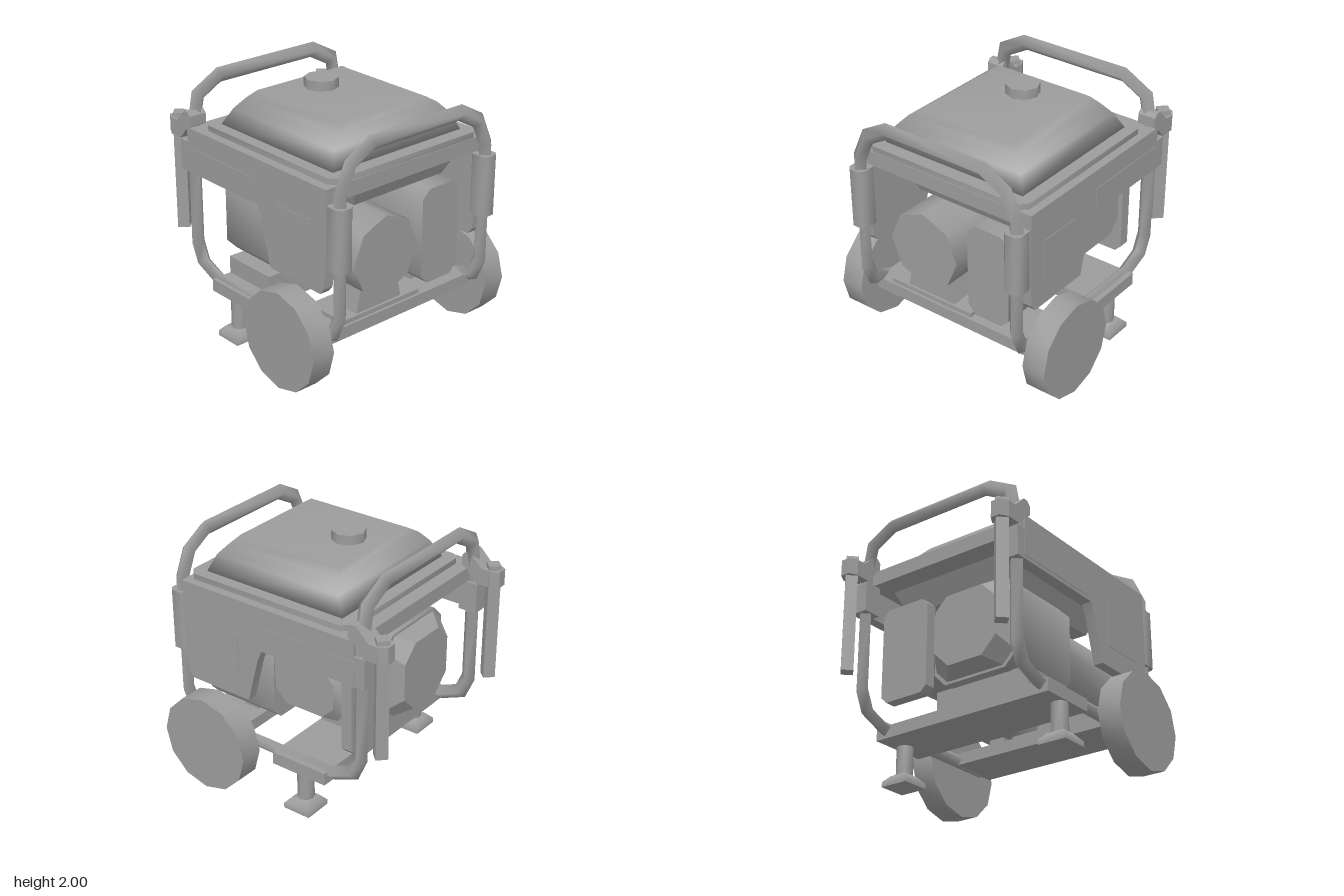
import * as THREE from 'three';
import { toCreasedNormals } from 'three/addons/utils/BufferGeometryUtils.js';

const grey = new THREE.MeshStandardMaterial({ color: 0x9c9c9c, side: THREE.DoubleSide });
const group = new THREE.Group();

function add(name, geo, crease = 0.9) {
  const mesh = new THREE.Mesh(crease ? toCreasedNormals(geo, crease) : geo, grey);
  mesh.name = name;
  group.add(mesh);
  return mesh;
}

function meshFrom(pos, index) {
  const geo = new THREE.BufferGeometry();
  geo.setAttribute('position', new THREE.Float32BufferAttribute(pos, 3));
  geo.setIndex(index);
  geo.computeVertexNormals();
  return geo;
}

// Chamfered-rectangle sections [t, a0, a1, b0, b1, chamfer] stacked along an axis.
// Axis x: a = y, b = z.  Axis y: a = z, b = x.  Axis z: a = x, b = y.
function loft(axis, sections) {
  const pos = [], index = [];
  let n = 4;
  for (const [t, a0, a1, b0, b1, c = 0] of sections) {
    const ring = c
      ? [[a0 + c, b0], [a1 - c, b0], [a1, b0 + c], [a1, b1 - c], [a1 - c, b1], [a0 + c, b1], [a0, b1 - c], [a0, b0 + c]]
      : [[a0, b0], [a1, b0], [a1, b1], [a0, b1]];
    n = ring.length;
    for (const [a, b] of ring) pos.push(...(axis === 'x' ? [t, a, b] : axis === 'y' ? [b, t, a] : [a, b, t]));
  }
  const last = (sections.length - 1) * n;
  for (let o = 0; o < last; o += n)
    for (let j = 0; j < n; j++) {
      const k = (j + 1) % n;
      index.push(o + j, o + k, o + n + k, o + j, o + n + k, o + n + j);
    }
  for (let j = 1; j < n - 1; j++) index.push(0, j + 1, j, last, last + j, last + j + 1);
  return meshFrom(pos, index);
}

function box(name, x0, x1, y0, y1, z0, z1) {
  const geo = new THREE.BoxGeometry(x1 - x0, y1 - y0, z1 - z0);
  geo.translate((x0 + x1) / 2, (y0 + y1) / 2, (z0 + z1) / 2);
  return add(name, geo);
}

// Four-sided mitred pipe along a path lying in the plane with the given normal
function pipe(name, points, normal, r) {
  const path = points.map(p => new THREE.Vector3(...p)), n = new THREE.Vector3(...normal);
  const pos = [], index = [];
  path.forEach((p, i) => {
    const before = p.clone().sub(path[Math.max(i - 1, 0)]).normalize();
    const after = path[Math.min(i + 1, path.length - 1)].clone().sub(p).normalize();
    const t = before.clone().add(after).normalize();
    const m = n.clone().cross(t).divideScalar(t.dot(i ? before : after));
    for (let k = 0; k < 4; k++) {
      const a = k * Math.PI / 2;
      pos.push(...p.clone().addScaledVector(m, r * Math.cos(a)).addScaledVector(n, r * Math.sin(a)).toArray());
      if (i) {
        const o = (i - 1) * 4, q = (k + 1) % 4;
        index.push(o + k, o + q, o + 4 + q, o + k, o + 4 + q, o + 4 + k);
      }
    }
  });
  add(name, meshFrom(pos, index), 0);
}

// Flat outline in x and y, extruded from z0 to z1
function plate(name, outline, z0, z1) {
  const shape = new THREE.Shape(outline.map(p => new THREE.Vector2(...p)));
  const geo = new THREE.ExtrudeGeometry(shape, { depth: z1 - z0, bevelEnabled: false });
  geo.translate(0, 0, z0);
  return add(name, geo, 0.5);
}

export function createModel() {
  group.clear();

  // Tubular frame: two arched hoops joined by a lower rail on each side
  for (const [x, z1, y1, z2, y2] of [[-0.735, 0.66, 1.83, 0.46, 1.94], [0.905, 0.62, 1.77, 0.43, 1.875]])
    pipe('frameHoop', [[x, 1.3, 0.71], [x, 1.57, 0.71], [x, y1, z1], [x, y2, z2],
      [x, y2, -z2], [x, y1, -z1], [x, 1.57, -0.71], [x, 1.3, -0.71]], [1, 0, 0], 0.06);

  for (const s of [1, -1]) {
    const side = (a, b) => (s > 0 ? [a, b] : [-b, -a]);
    pipe('lowerRail', [[-0.735, 1.3, s * 0.71], [-0.735, 0.64, s * 0.71], [-0.67, 0.49, s * 0.71], [-0.49, 0.415, s * 0.71],
      [0.66, 0.415, s * 0.71], [0.84, 0.49, s * 0.71], [0.905, 0.64, s * 0.71], [0.905, 1.3, s * 0.71]], [0, 0, 1], 0.057);

    // Side fascia with its slightly raised panels
    plate('fascia', [[-0.72, 1.6], [-0.72, 1.25], [0.1, 1.25], [0.14, 1.16], [0.235, 0.8], [0.78, 0.8], [0.82, 0.85],
      [0.84, 1.1], [0.84, 1.6]], ...side(0.7, 0.78));
    box('controlPanel', -0.73, 0.06, 1.28, 1.45, ...side(0.76, 0.784));
    box('outletPanel', 0.32, 0.68, 0.97, 1.33, ...side(0.76, 0.784));

    // Guards round the uprights
    const [g0, g1] = side(0.64, 0.78);
    add('frontGuard', loft('y', [[1.01, g0, g1, 0.82, 0.98, 0.03], [1.49, g0, g1, 0.82, 0.98, 0.03]]));
    box('rearGuard', -0.81, -0.66, 1.25, 1.49, g0, g1);

    // Fold-down handle and its bracket
    plate('handleBracket', [[-0.92, 1.5], [-0.84, 1.5], [-0.8, 1.5], [-0.72, 1.59], [-0.67, 1.62], [-0.67, 1.7], [-0.7, 1.73],
      [-0.74, 1.73], [-0.84, 1.63], [-0.92, 1.63]], ...side(0.64, 0.785));
    add('handlePivot', new THREE.CylinderGeometry(0.075, 0.075, 0.13, 6)).position.set(-0.915, 1.565, s * 0.71);
    add('pivotCap', new THREE.CylinderGeometry(0.065, 0.065, 0.04, 4)).position.set(-0.905, 1.645, s * 0.71);
    add('handleGrip', new THREE.CylinderGeometry(0.065, 0.065, 0.8, 4)).position.set(-0.905, 1.12, s * 0.71);

    // Wheel
    const wheel = add('wheel', new THREE.CylinderGeometry(0.385, 0.385, 0.19, 12));
    wheel.rotation.x = Math.PI / 2;
    wheel.position.set(0.535, 0.39, s * 0.87);

    // Foot
    add('footPost', new THREE.CylinderGeometry(0.065, 0.065, 0.28, 8)).position.set(-0.235, 0.22, s * 0.71);
    const z = s * 0.715, a = 0.115, b = 0.07;
    add('footPad', loft('y', [[0.015, z - a, z + a, -0.235 - a, -0.235 + a], [0.055, z - a, z + a, -0.235 - a, -0.235 + a],
      [0.105, z - b, z + b, -0.235 - b, -0.235 + b]]));
  }

  // Tank, its flange, tray and filler cap
  box('tray', -0.72, 0.84, 1.49, 1.605, -0.785, 0.78);
  add('tankFlange', loft('y', [[1.6, -0.72, 0.71, -0.61, 0.835, 0.06], [1.65, -0.72, 0.71, -0.61, 0.835, 0.06]]));
  add('tankTop', loft('y', [[1.645, -0.63, 0.62, -0.51, 0.73], [1.78, -0.57, 0.56, -0.435, 0.675], [1.86, -0.5, 0.49, -0.375, 0.61],
    [1.91, -0.42, 0.41, -0.34, 0.57]]), 0);
  add('tankBottom', loft('y', [[1.31, -0.52, 0.36, -0.45, 0.66], [1.5, -0.6, 0.43, -0.55, 0.75]]), 0.5);
  add('fillerCap', new THREE.CylinderGeometry(0.13, 0.13, 0.1, 8)).position.set(-0.095, 1.935, 0);

  // Engine with tapered end cover, and the alternator beside it
  add('engine', loft('x', [[-0.55, 0.57, 1.29, -0.17, 0.57, 0.1], [0.12, 0.57, 1.29, -0.17, 0.57, 0.1]]));
  add('engineEndCover', loft('x', [[-0.67, 0.65, 1.21, -0.08, 0.48, 0.13], [-0.55, 0.59, 1.27, -0.15, 0.55, 0.1]]), 0.6);
  const alternator = add('alternator', new THREE.CylinderGeometry(0.31, 0.31, 0.73, 8));
  alternator.rotation.z = Math.PI / 2;
  alternator.position.set(0.465, 0.93, 0.2);
  add('alternatorFoot', loft('y', [[0.46, -0.03, 0.43, 0.5, 0.76], [0.72, 0.03, 0.37, 0.5, 0.76]]), 0.5);

  // Muffler, air filter and the upright panel behind it
  add('muffler', loft('x', [[0.17, 0.54, 1.3, -0.56, -0.19, 0.07], [0.8, 0.54, 1.3, -0.56, -0.19, 0.07]]));
  box('mufflerPost', 0.45, 0.58, 0.45, 0.56, -0.43, -0.3);
  add('airFilter', loft('z', [[-0.645, -0.44, 0.09, 0.8, 1.2, 0.1], [-0.56, -0.51, 0.17, 0.75, 1.25, 0.1],
    [-0.17, -0.51, 0.17, 0.75, 1.25, 0.1]]), 0.6);
  add('rearPanel', loft('x', [[-0.6, 0.55, 1.31, -0.64, -0.21, 0.05], [-0.51, 0.55, 1.31, -0.64, -0.21, 0.05]]), 0.6);

  // Base cross members and engine mount
  box('footCrossMember', -0.47, 0.01, 0.335, 0.435, -0.79, 0.78);
  box('wheelCrossMember', 0.38, 0.8, 0.375, 0.47, -0.71, 0.71);
  box('alternatorMount', 0.42, 0.78, 0.46, 0.505, -0.19, 0.57);
  box('engineMount', -0.47, 0.005, 0.43, 0.575, -0.21, 0.61);

  return group;
}
